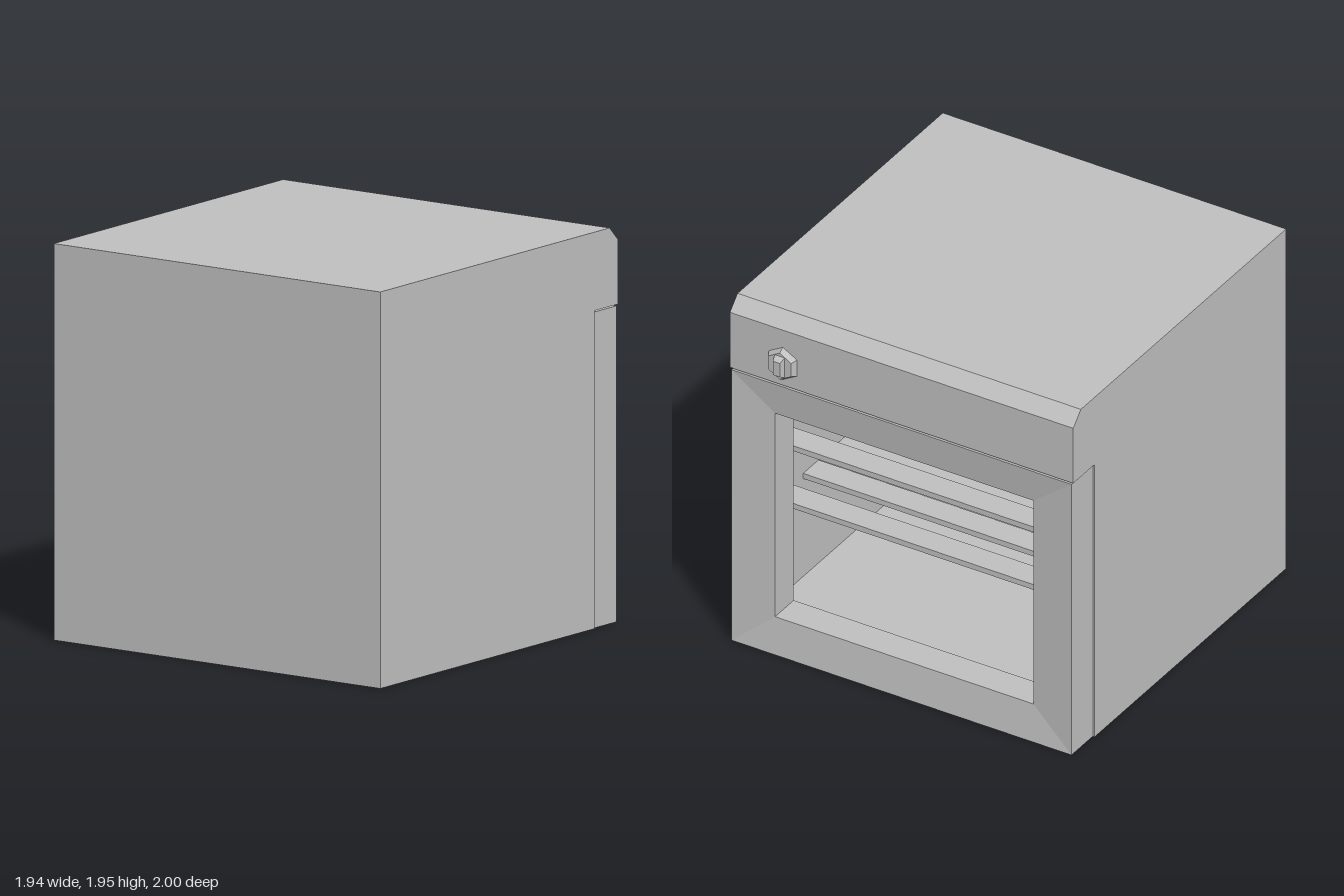
import * as THREE from 'three';

export function createModel() {
  const group = new THREE.Group();
  const grey = new THREE.MeshStandardMaterial({ color: 0xbfbfbf, flatShading: true });
  grey.name = 'grey enamel';

  const add = (name, geometry, x = 0, y = 0, z = 0) => {
    const mesh = new THREE.Mesh(geometry, grey);
    mesh.name = name;
    mesh.position.set(x, y, z);
    group.add(mesh);
    return mesh;
  };
  // Box given by its limits on each axis
  const box = (name, x0, x1, y0, y1, z0, z1) =>
    add(name, new THREE.BoxGeometry(x1 - x0, y1 - y0, z1 - z0),
      (x0 + x1) / 2, (y0 + y1) / 2, (z0 + z1) / 2);

  const W = 0.97, IN = 0.94, FRONT = -0.745, CEIL = 1.54;

  // Cabinet around the open cavity
  box('cabinetFloor', -W, W, 0, 0.03, FRONT, 1);
  box('cabinetRearWall', -W, W, 0.03, CEIL, 0.75, 1);
  for (const s of [-1, 1]) {
    box(s > 0 ? 'leftWall' : 'rightWall',
      Math.min(s * IN, s * W), Math.max(s * IN, s * W), 0.03, CEIL, FRONT, 0.75);
  }

  // Top block with the overhanging control panel; profile uses (-z, y)
  const profile = new THREE.Shape([
    [-1, CEIL], [0.745, CEIL], [0.745, 1.56], [0.94, 1.56],
    [0.94, 1.875], [0.87, 1.945], [-1, 1.945],
  ].map(([u, v]) => new THREE.Vector2(u, v)));
  const top = new THREE.ExtrudeGeometry(profile, { depth: 2 * W, bevelEnabled: false });
  top.rotateY(Math.PI / 2);
  add('controlPanelAndTop', top, -W);

  // Door frame: four rectangular loops joined into a ring, bevelled to the window
  const loop = (x, y0, y1, z) => [[x, y0, z], [-x, y0, z], [-x, y1, z], [x, y1, z]];
  const loops = [
    loop(0.96, 0, 1.55, FRONT), loop(0.96, 0, 1.55, -0.94),
    loop(0.73, 0.2, 1.365, -0.915), loop(0.73, 0.2, 1.365, FRONT),
  ];
  const points = [];
  loops.forEach((a, i) => {
    const b = loops[(i + 1) % loops.length];
    for (let j = 0; j < 4; j++) {
      const k = (j + 1) % 4;
      points.push(...a[j], ...a[k], ...b[k], ...a[j], ...b[k], ...b[j]);
    }
  });
  const door = new THREE.BufferGeometry();
  door.setAttribute('position', new THREE.Float32BufferAttribute(points, 3));
  door.computeVertexNormals();
  add('doorFrame', door);

  // Two racks of five flat slats
  for (const [name, y] of [['upperRackSlat', 0.935], ['lowerRackSlat', 0.605]]) {
    for (let i = -2; i <= 2; i++) {
      box(name, -IN, IN, y - 0.015, y + 0.015, i * 0.25 - 0.07, i * 0.25 + 0.07);
    }
  }

  // Hexagonal knob and its tapered grip
  const base = new THREE.CylinderGeometry(0.075, 0.092, 0.03, 6);
  base.rotateX(-Math.PI / 2);
  add('knobBase', base, 0.67, 1.685, -0.955);
  const grip = new THREE.CylinderGeometry(0.055, 0.085, 0.035, 4);
  grip.rotateY(Math.PI / 4);
  grip.scale(0.5, 1, 1);
  grip.rotateX(-Math.PI / 2);
  add('knobGrip', grip, 0.67, 1.685, -0.9825);

  return group;
}
